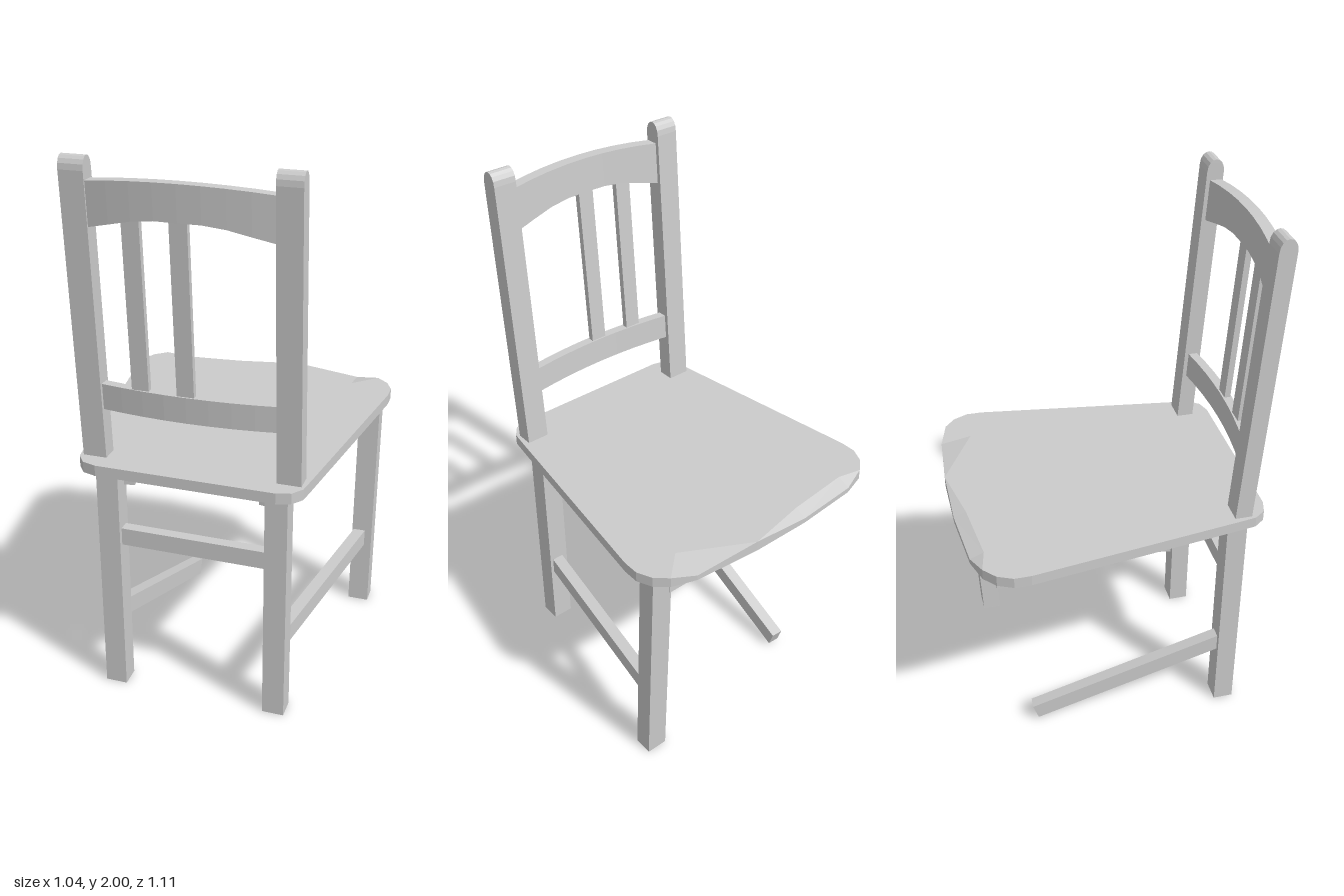
import * as THREE from 'three';

const mat = new THREE.MeshStandardMaterial({ color: 0xcccccc, flatShading: true });
const V = (x, y, z) => new THREE.Vector3(x, y, z);

export function createModel() {
  const group = new THREE.Group();

  const add = (name, geometry) => {
    const flat = geometry.index ? geometry.toNonIndexed() : geometry;
    flat.computeVertexNormals();
    const mesh = new THREE.Mesh(flat, mat);
    mesh.name = name;
    group.add(mesh);
    return mesh;
  };

  // Straight bar from a to b; w is its sideways width, h its height
  const bar = (name, a, b, w, h) => {
    const dir = b.clone().sub(a);
    const mesh = add(name, new THREE.BoxGeometry(w, h, dir.length()));
    mesh.position.copy(a).add(b).multiplyScalar(0.5);
    mesh.lookAt(b);
  };

  // Post whose ends are cut level, leaning in z from z0 at y0 to z1 at y1
  const post = (name, x, w, d, y0, z0, y1, z1) => {
    const g = new THREE.BoxGeometry(w, y1 - y0, d);
    const p = g.attributes.position;
    for (let i = 0; i < p.count; i++) {
      const top = p.getY(i) > 0;
      p.setXYZ(i, p.getX(i) + x, top ? y1 : y0, p.getZ(i) + (top ? z1 : z0));
    }
    add(name, g);
  };

  // Bowed rail between the back posts, with shaped lower and upper edges
  const bowedRail = (name, depth, bottom, top, zAt) => {
    const g = new THREE.BoxGeometry(0.62, 1, depth, 8, 1, 1);
    const p = g.attributes.position;
    for (let i = 0; i < p.count; i++) {
      const t = p.getX(i) / 0.31;
      const y = p.getY(i) > 0 ? top(t) : bottom(t);
      p.setY(i, y);
      p.setZ(i, p.getZ(i) + zAt(t, y));
    }
    add(name, g);
  };

  // Seat outline: x, z, then z of the inner worn edge and how far the rim drops
  const half = [[0.32, 0.54], [0.37, 0.525], [0.4, 0.485], [0.41, 0.42], [0.52, -0.35],
    [0.52, -0.41], [0.495, -0.465], [0.45, -0.505]];
  const rim = [
    ...half,
    [0.36, -0.535, -0.42, 0.02], [0.11, -0.555], [-0.12, -0.555, -0.51, 0.02], [-0.36, -0.535, -0.485, 0.02],
    ...half.map(([x, z]) => [-x, z]).reverse(),
  ];
  const y0 = 0.905, y1 = 0.945;
  const rings = [
    rim.map(([x, z]) => V(x, y0, z)),
    rim.map(([x, z, , drop = 0]) => V(x, y1 - drop, z)),
    rim.map(([x, z, inner = z]) => V(x, y1, inner)),
  ];
  const tris = [];
  const tri = (a, b, c) => {
    const area = b.clone().sub(a).cross(c.clone().sub(a)).length();
    if (area > 1e-7) tris.push(a, b, c);
  };
  for (let r = 0; r < 2; r++) {
    rim.forEach((_, i) => {
      const j = (i + 1) % rim.length;
      tri(rings[r][i], rings[r][j], rings[r + 1][j]);
      tri(rings[r][i], rings[r + 1][j], rings[r + 1][i]);
    });
  }
  for (const [ring, up] of [[rings[0], -1], [rings[2], 1]]) {
    const flat = ring.map((v) => new THREE.Vector2(v.x, v.z));
    for (const [a, b, c] of THREE.ShapeUtils.triangulateShape(flat, [])) {
      const n = ring[b].clone().sub(ring[a]).cross(ring[c].clone().sub(ring[a]));
      if (n.y * up > 0) tri(ring[a], ring[b], ring[c]);
      else tri(ring[a], ring[c], ring[b]);
    }
  }
  add('seat', new THREE.BufferGeometry().setFromPoints(tris));

  // Back posts with rounded tops, leaning backwards
  const side = new THREE.Shape();
  side.moveTo(0.41, 0.93);
  side.lineTo(0.472, 0.93);
  side.lineTo(0.54, 1.955);
  side.bezierCurveTo(0.542, 2.015, 0.48, 2.015, 0.478, 1.955);
  side.closePath();
  for (const s of [-1, 1]) {
    const g = new THREE.ExtrudeGeometry(side, { depth: 0.085, bevelEnabled: false, curveSegments: 8 });
    g.rotateY(-Math.PI / 2); // shape x becomes z, depth runs to -x
    g.translate(s * 0.3475 + 0.0425, 0, 0);
    add('backPost', g);
    post('rearLeg', s * 0.306, 0.08, 0.075, 0, 0.44, 0.906, 0.44);
    // Side rails splay outwards towards the front edge
    bar('sideApron', V(s * 0.26, 0.863, 0.42), V(s * 0.375, 0.863, -0.42), 0.065, 0.085);
  }

  // Backrest rails
  bowedRail('topRail', 0.042,
    (t) => 1.775 + 0.045 * Math.min(1, 1.6 * (1 - Math.abs(t))),
    (t) => 1.925 + 0.017 * (1 - t * t),
    (t, y) => 0.506 + 0.022 * (1 - t * t) + (y - 1.85) * 0.065);
  bowedRail('lowerBackRail', 0.034, () => 1.13, () => 1.225,
    (t, y) => 0.458 + 0.025 * (1 - t * t) + (y - 1.18) * 0.065);

  // Remaining slats; the third is missing
  post('backSlat', -0.162, 0.06, 0.022, 1.2, 0.478, 1.83, 0.52);
  post('backSlat', -0.002, 0.06, 0.022, 1.2, 0.484, 1.83, 0.526);

  // Only one front leg is left
  post('frontLeg', 0.445, 0.08, 0.07, 0, -0.376, 0.906, -0.42);

  // Front apron and stretchers
  bar('frontApron', V(-0.415, 0.863, -0.425), V(0.415, 0.863, -0.425), 0.06, 0.085);
  bar('rearStretcher', V(-0.28, 0.63, 0.44), V(0.28, 0.63, 0.44), 0.04, 0.066);
  bar('sideStretcher', V(0.308, 0.29, 0.42), V(0.438, 0.29, -0.38), 0.045, 0.066);
  bar('fallenStretcher', V(-0.308, 0.297, 0.42), V(-0.265, 0.042, -0.315), 0.045, 0.064);

  return group;
}
